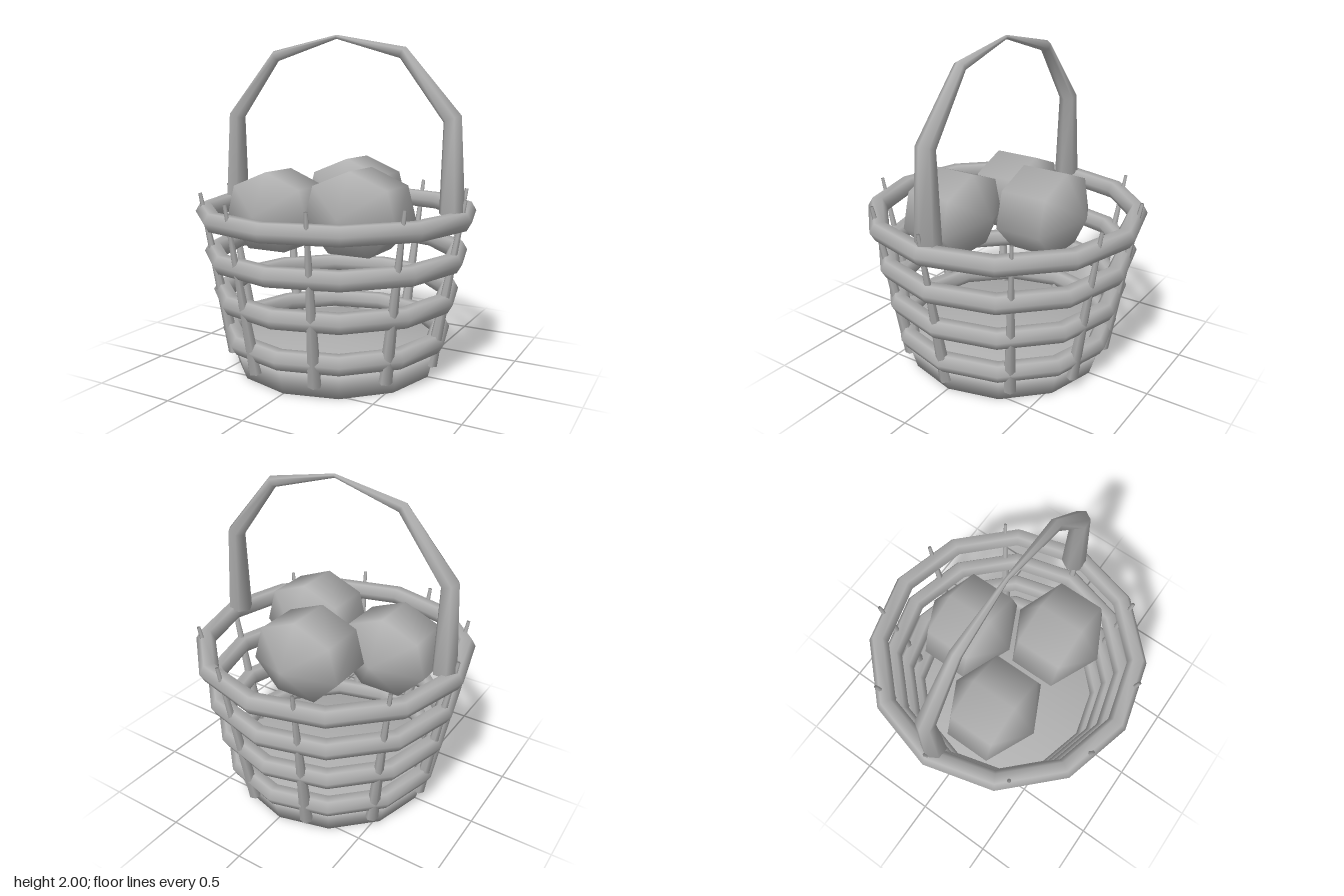
import * as THREE from 'three';

const gray = new THREE.MeshStandardMaterial({ color: 0xb0b0b0 });
gray.name = 'plain gray';

// Closed six-sided rod along a path in the xy plane; points are [x, y, radius]
function rod(points, sides = 6) {
  const pos = [], index = [];
  const P = points.map(([x, y]) => new THREE.Vector2(x, y));
  points.forEach(([x, y, r], i) => {
    const t = new THREE.Vector2();
    if (i > 0) t.add(P[i].clone().sub(P[i - 1]).normalize());
    if (i < P.length - 1) t.add(P[i + 1].clone().sub(P[i]).normalize());
    t.normalize();
    for (let j = 0; j < sides; j++) {
      const a = (j / sides) * Math.PI * 2, c = Math.cos(a) * r;
      pos.push(x + t.y * c, y - t.x * c, Math.sin(a) * r);
    }
  });
  const last = (points.length - 1) * sides;
  for (let j = 0; j < sides; j++) {
    const k = (j + 1) % sides;
    for (let b = 0; b < last; b += sides) {
      index.push(b + j, b + sides + j, b + k, b + k, b + sides + j, b + sides + k);
    }
    if (j > 0 && k > 0) index.push(0, j, k, last, last + k, last + j);
  }
  const g = new THREE.BufferGeometry();
  g.setAttribute('position', new THREE.Float32BufferAttribute(pos, 3));
  g.setIndex(index);
  g.computeVertexNormals();
  return g;
}

// Solid tapered disc with normals shared between wall and faces
function softDisc(rTop, rBottom, height, sides) {
  const pos = [0, 0, 0, 0, height, 0], index = [];
  for (let i = 0; i < sides; i++) {
    const a = (i / sides) * Math.PI * 2, c = Math.cos(a), s = Math.sin(a);
    pos.push(c * rBottom, 0, s * rBottom, c * rTop, height, s * rTop);
    const b = 2 + i * 2, n = 2 + ((i + 1) % sides) * 2;
    index.push(0, b, n, 1, n + 1, b + 1, b, b + 1, n, n, b + 1, n + 1);
  }
  const g = new THREE.BufferGeometry();
  g.setAttribute('position', new THREE.Float32BufferAttribute(pos, 3));
  g.setIndex(index);
  g.computeVertexNormals();
  return g;
}

export function createModel() {
  const model = new THREE.Group();
  model.name = 'basket';
  const add = (name, geometry) => {
    const mesh = new THREE.Mesh(geometry, gray);
    mesh.name = name;
    model.add(mesh);
    return mesh;
  };

  // Solid floor of the basket
  add('base', softDisc(0.655, 0.615, 0.14, 12));

  // Four hoops, widening upwards
  [[0.65, 0.21], [0.70, 0.458], [0.75, 0.702], [0.80, 0.948]].forEach(([r, y], i) => {
    add('hoop' + (i + 1), new THREE.TorusGeometry(r, 0.06, 6, 12).rotateX(Math.PI / 2).translate(0, y, 0));
  });

  // Ten tapered stakes leaning outwards through the hoops
  const stake = rod([[0.632, 0.08, 0.04], [0.82, 1.07, 0.011]]);
  for (let i = 0; i < 10; i++) {
    add('stake' + (i + 1), stake).rotation.y = (i * Math.PI) / 5;
  }

  // Arched handle, thin at the crown and thick at the feet
  const half = [[0.742, 0.985, 0.077], [0.733, 1.517, 0.056], [0.43, 1.886, 0.036]];
  const mirrored = half.map(([x, y, r]) => [-x, y, r]).reverse();
  add('handle', rod([...half, [0, 1.988, 0.012], ...mirrored]));

  // Three round fruits with their poles along z
  const fruit = new THREE.SphereGeometry(1, 7, 3)
    .rotateX(Math.PI / 2).rotateZ(-Math.PI / 2).scale(0.343, 0.288, 0.286);
  [['backFruit', 0, 1.005, -0.27], ['leftFruit', 0.265, 0.985, 0.2], ['rightFruit', -0.33, 0.943, 0.14]]
    .forEach(([name, x, y, z]) => add(name, fruit).position.set(x, y, z));

  return model;
}
